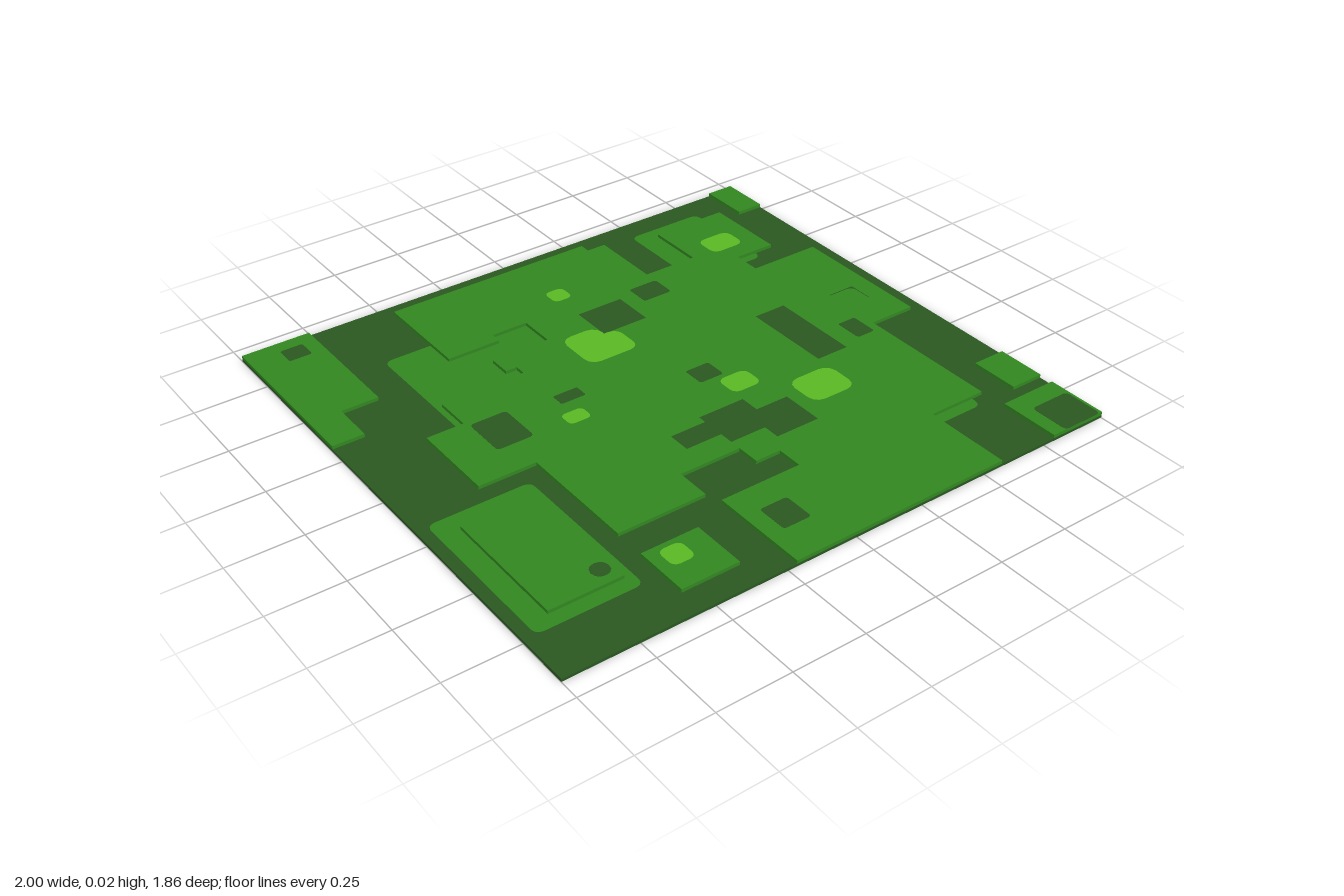
import * as THREE from 'three';

const mat = (name, color) => Object.assign(new THREE.MeshStandardMaterial({ color }), { name });

const BASE_TOP = 0.01, PLATE_TOP = 0.022, SKIN = 0.0006;

// Plan points are [x, z]; the shape plane is turned so that extrusion goes up.
const toPath = (pts, Type) => new Type(pts.map(([x, z]) => new THREE.Vector2(x, -z)));
const rect = (x0, z0, x1, z1) => [[x0, z0], [x1, z0], [x1, z1], [x0, z1]];

// Rectangle with rounded corners, in plan
function rounded(x0, z0, x1, z1, r) {
  const pts = [];
  const corners = [[x1 - r, z1 - r], [x0 + r, z1 - r], [x0 + r, z0 + r], [x1 - r, z0 + r]];
  corners.forEach(([cx, cz], k) => {
    for (let i = 0; i <= 3; i++) {
      const a = (k + i / 3) * Math.PI / 2;
      pts.push([cx + r * Math.cos(a), cz + r * Math.sin(a)]);
    }
  });
  return pts;
}

export function createModel() {
  const group = new THREE.Group();
  group.name = 'groundTile';
  const dark = mat('darkGreen', 0x2b5a22);
  const green = mat('grassGreen', 0x348a22);
  const lime = mat('limeGreen', 0x5cbc24);

  function slab(name, pts, y0, y1, material, holes = []) {
    const shape = toPath(pts, THREE.Shape);
    shape.holes = holes.map((h) => toPath(h, THREE.Path));
    const geo = new THREE.ExtrudeGeometry(shape, { depth: y1 - y0, bevelEnabled: false });
    geo.rotateX(-Math.PI / 2);
    geo.translate(0, y0, 0);
    const mesh = new THREE.Mesh(geo, material);
    mesh.name = name;
    group.add(mesh);
  }
  const plate = (name, pts, holes) => slab(name, pts, BASE_TOP, PLATE_TOP, green, holes);

  // Base sheet
  slab('base', rect(-1, -0.93, 1, 0.93), SKIN, BASE_TOP, dark);

  // Soft green patches running through the base, seen on both faces
  [
    [-0.96, 0.18, -0.61, 0.75], [-0.64, -0.64, -0.05, -0.17], [0.48, -0.84, 0.77, -0.46],
    [0.36, 0.17, 0.74, 0.67], [0.17, -0.28, 0.45, -0.03], [-0.04, 0.63, 0.24, 0.83],
    [-0.45, 0.01, -0.22, 0.19], [-0.97, -0.78, -0.82, -0.56], [0.77, -0.11, 0.89, 0],
  ].forEach((p) => slab('basePatch', rounded(...p, 0.025), 0, BASE_TOP + SKIN, green));

  // Large stepped plate with cut-outs
  plate('mainPlate', [
    [-0.47, -0.88], [0.29, -0.88], [0.29, -0.84], [0.36, -0.84], [0.36, -0.58], [0.56, -0.58],
    [0.56, -0.79], [0.84, -0.79], [0.84, -0.49], [0.69, -0.49], [0.69, -0.39], [0.95, -0.39],
    [0.95, 0.12], [0.78, 0.12], [0.78, 0.63], [0.57, 0.63], [0.57, 0.93], [-0.22, 0.93],
    [-0.22, 0.59], [0.07, 0.59], [0.07, 0.5], [-0.02, 0.5], [-0.02, 0.42], [-0.24, 0.42],
    [-0.24, 0.54], [-0.55, 0.54], [-0.55, 0.12], [-0.75, 0.12], [-0.75, -0.18], [-0.62, -0.18],
    [-0.62, -0.31], [-0.32, -0.31], [-0.32, -0.35], [-0.36, -0.35], [-0.36, -0.43],
    [-0.15, -0.43], [-0.15, -0.56], [-0.28, -0.56], [-0.28, -0.52], [-0.47, -0.52],
  ], [
    rect(0.19, -0.26, 0.43, -0.05),
    rect(-0.43, 0.03, -0.24, 0.17),
    rect(-0.02, 0.65, 0.22, 0.81),
    rect(0.78, -0.1, 0.88, -0.01),
    rect(0.02, -0.5, 0.19, -0.35),
    rect(0.49, -0.14, 0.61, 0.21),
    [[-0.15, 0.25], [-0.02, 0.25], [-0.02, 0.22], [0.15, 0.22], [0.15, 0.29], [0.27, 0.29],
      [0.27, 0.44], [0.11, 0.44], [0.11, 0.38], [-0.02, 0.38], [-0.02, 0.33], [-0.15, 0.33]],
  ]);

  // Smaller plates around the rim
  plate('backLeftPlate', [[-1, -0.93], [-0.76, -0.93], [-0.76, -0.46], [-0.89, -0.46],
    [-0.89, -0.31], [-1, -0.31]], [rect(-0.95, -0.76, -0.84, -0.58)]);
  plate('framePlate', rect(-0.89, 0.25, -0.64, 0.7), [rect(-0.82, 0.44, -0.72, 0.61)]);
  plate('smallPlate', rect(-0.55, 0.65, -0.35, 0.84));
  plate('backCornerPlate', rect(0.9, -0.93, 1, -0.75));
  plate('sidePlate', rect(0.88, 0.5, 1, 0.67));
  plate('frontCornerPlate', rect(0.79, 0.72, 1, 0.93));

  // Painted spots on the plates
  const paint = (name, list, material, round) => list.forEach(([x0, z0, x1, z1]) => {
    const r = Math.min(x1 - x0, z1 - z0) * round;
    slab(name, rounded(x0, z0, x1, z1, r), PLATE_TOP, PLATE_TOP + SKIN, material);
  });
  paint('darkSpot', [
    [-0.89, -0.88, -0.81, -0.81], [-0.61, -0.16, -0.48, 0], [-0.32, -0.14, -0.23, -0.09],
    [0.25, -0.53, 0.36, -0.44], [0.1, -0.01, 0.19, 0.07], [0.68, 0.06, 0.75, 0.16],
    [-0.16, 0.69, -0.06, 0.8], [0.84, 0.79, 0.99, 0.93],
  ], dark, 0.1);
  paint('darkDot', [[-0.71, 0.61, -0.65, 0.67]], dark, 0.45);
  paint('limeSpot', [
    [-0.12, -0.4, 0.02, -0.22], [-0.05, -0.35, 0.07, -0.22], [0.32, 0.23, 0.49, 0.37],
    [0.64, -0.66, 0.77, -0.56], [0, -0.68, 0.07, -0.61], [-0.36, -0.04, -0.28, 0.02],
    [0.15, 0.09, 0.26, 0.18], [-0.51, 0.67, -0.43, 0.75],
  ], lime, 0.28);

  return group;
}
